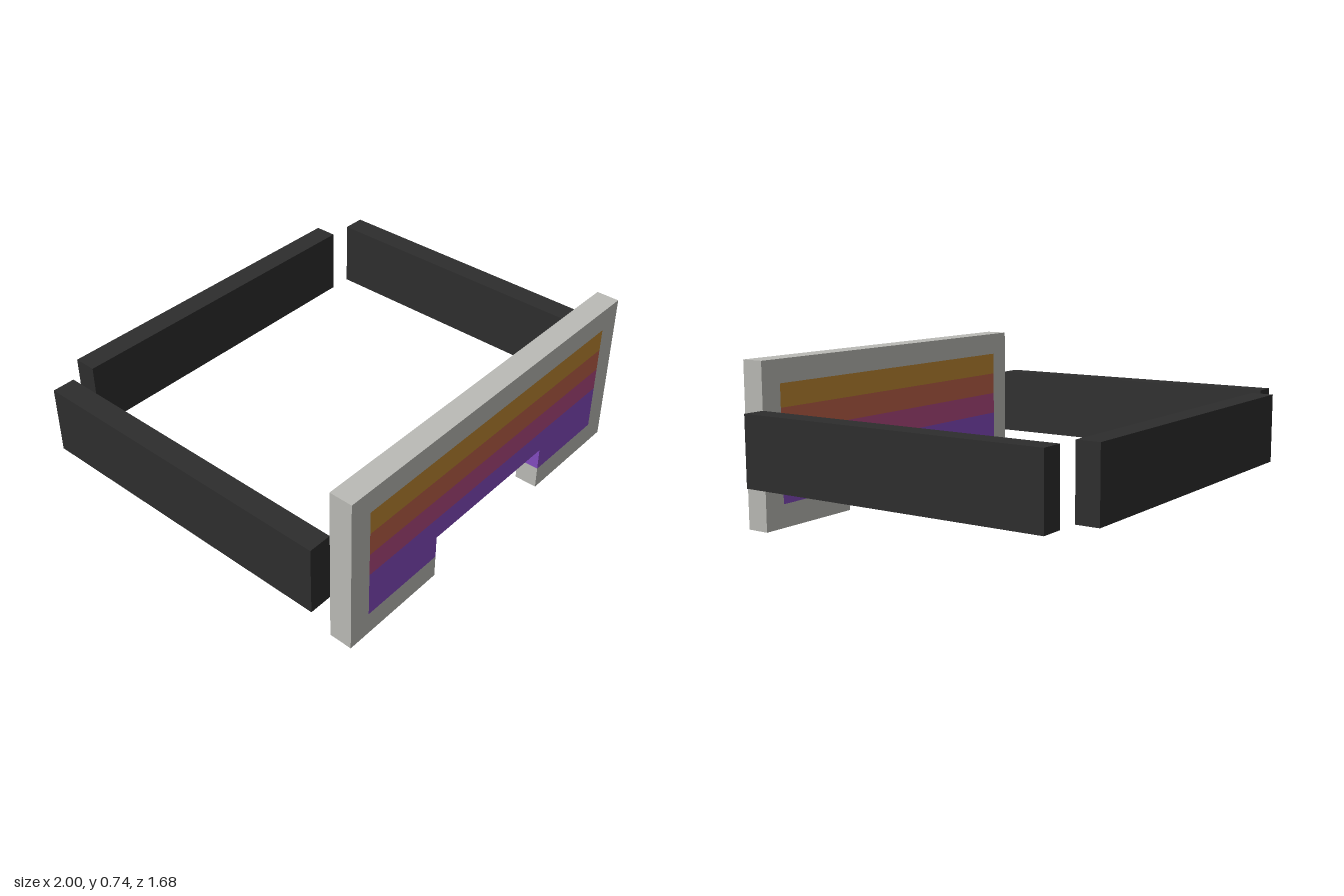
import * as THREE from 'three';

// Everything sits on a grid of equal blocks, 19 across the full width
const U = 2 / 19;

const paint = (name, color) => {
  const m = new THREE.MeshStandardMaterial({ color });
  m.name = name;
  return m;
};

export function createModel() {
  const grey = paint('stoneGrey', 0xbbbbb6);
  const black = paint('charcoal', 0x2d2d2d);
  const orange = paint('orange', 0xbe8733);
  const coral = paint('coral', 0xbd6049);
  const magenta = paint('magenta', 0xb0487f);
  const purple = paint('purple', 0x834bbf);

  const model = new THREE.Group();
  model.name = 'headset';

  const add = (parent, name, geometry, material) => {
    const mesh = new THREE.Mesh(geometry, material);
    mesh.name = name;
    parent.add(mesh);
    return mesh;
  };
  // Box given by its size and centre in blocks
  const box = (parent, name, material, [w, h, d], [x, y, z]) =>
    add(parent, name, new THREE.BoxGeometry(w * U, h * U, d * U), material)
      .position.set(x * U, y * U, z * U);
  // One-block-deep slab from the right half of a mirrored outline, in blocks
  const slab = (parent, name, material, half) => {
    const left = half.map(([x, y]) => [-x, y]).reverse();
    const outline = [...half, ...left].map(([x, y]) => new THREE.Vector2(x * U, y * U));
    const geometry = new THREE.ExtrudeGeometry(new THREE.Shape(outline), { depth: U, bevelEnabled: false });
    add(parent, name, geometry, material).position.z = 7 * U;
  };

  // Visor: grey rim open at the nose notch, filled by coloured bands
  const visor = new THREE.Group();
  visor.name = 'visor';
  model.add(visor);
  slab(visor, 'visorRim', grey,
    [[7.5, 6], [7.5, 1], [3.5, 1], [3.5, 0], [8.5, 0], [8.5, 7]]);
  slab(visor, 'lensBottom', purple,
    [[3.5, 2], [3.5, 1], [7.5, 1], [7.5, 3]]);
  [magenta, coral, orange].forEach((material, i) =>
    box(visor, `lensBand${i + 1}`, material, [15, 1, 1], [0, 3.5 + i, 7.5]));

  // Strap: two side bars and a back bar
  const strap = new THREE.Group();
  strap.name = 'strap';
  model.add(strap);
  for (const [name, side] of [['leftStrap', 1], ['rightStrap', -1]])
    box(strap, name, black, [1, 3, 14], [side * 9, 3.5, 0]);
  box(strap, 'backStrap', black, [15, 3, 1], [0, 3.5, -7.5]);

  return model;
}
